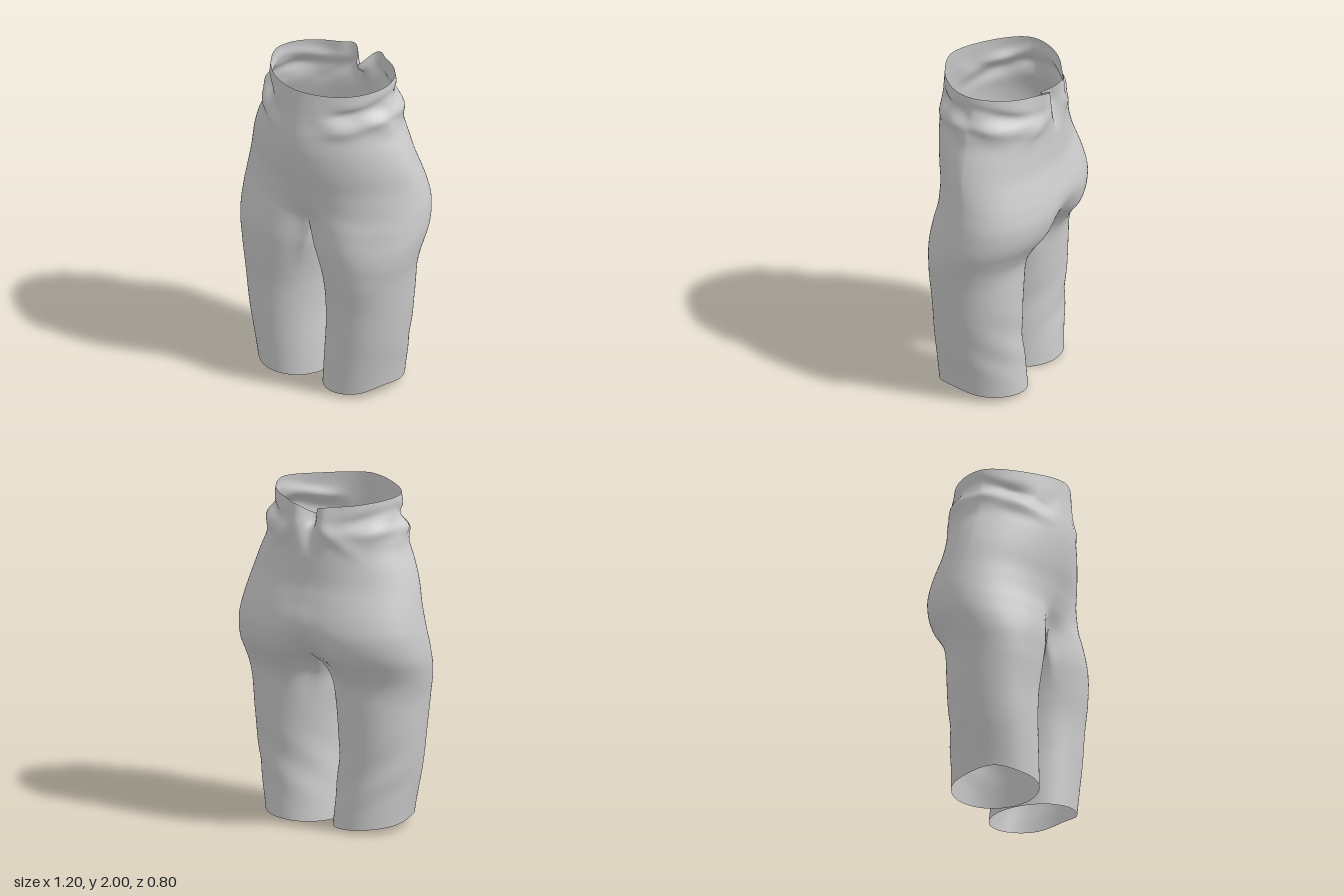
import * as THREE from 'three';
import { mergeVertices } from 'three/addons/utils/BufferGeometryUtils.js';

// Smooth curve through [y, value] pairs
function curve(...p) {
  const slope = i => {
    const a = p[Math.max(i - 1, 0)], b = p[Math.min(i + 1, p.length - 1)];
    return (b[1] - a[1]) / (b[0] - a[0]);
  };
  return y => {
    y = Math.min(Math.max(y, p[0][0]), p[p.length - 1][0]);
    let i = 0;
    while (i < p.length - 2 && y > p[i + 1][0]) i++;
    const h = p[i + 1][0] - p[i][0], t = (y - p[i][0]) / h, t2 = t * t, t3 = t2 * t;
    return (2 * t3 - 3 * t2 + 1) * p[i][1] + (t3 - 2 * t2 + t) * h * slope(i)
      + (3 * t2 - 2 * t3) * p[i + 1][1] + (t3 - t2) * h * slope(i + 1);
  };
}

// Outline of the garment by height
const outer = curve([0, 0.455], [0.2, 0.485], [0.4, 0.515], [0.6, 0.54], [0.8, 0.56], [0.92, 0.582],
  [1.05, 0.6], [1.2, 0.592], [1.3, 0.575], [1.4, 0.555], [1.5, 0.53], [1.6, 0.495], [1.7, 0.452],
  [1.76, 0.44], [1.81, 0.425], [1.86, 0.395], [1.92, 0.402], [2, 0.39]);
const inner = curve([0, 0.006], [0.2, 0.02], [0.4, 0.034], [0.6, 0.028], [0.8, 0.006], [0.95, 0.001], [1.1, 0]);
const front = curve([0, 0.3], [0.4, 0.31], [0.6, 0.316], [0.8, 0.338], [0.95, 0.352], [1.1, 0.342],
  [1.2, 0.33], [1.32, 0.344], [1.45, 0.378], [1.6, 0.4], [1.7, 0.4], [1.8, 0.388], [1.9, 0.378], [2, 0.37]);
const back = curve([0, -0.23], [0.4, -0.212], [0.6, -0.22], [0.8, -0.23], [0.9, -0.255], [0.98, -0.305],
  [1.08, -0.375], [1.2, -0.403], [1.3, -0.395], [1.4, -0.372], [1.5, -0.345], [1.6, -0.335], [1.8, -0.325], [2, -0.305]);
// Roundness of the section (the belly is narrow), and depth of the centre creases
const frontPower = curve([0.7, 2.2], [1.1, 2.2], [1.25, 2], [1.4, 1.7], [1.6, 1.57], [1.8, 1.6], [2, 1.68]);
const backPower = curve([0.7, 2.25], [1.2, 2.2], [1.5, 2], [2, 1.9]);
const groinCrease = curve([0.9, 0.09], [1, 0.095], [1.1, 0.08], [1.2, 0.022], [1.32, 0], [2, 0]);
const seatCrease = curve([0.9, 0.17], [1, 0.14], [1.1, 0.075], [1.25, 0.012], [1.4, 0.01], [1.6, 0], [2, 0]);
const knotPinch = curve([0, 0], [1.65, 0], [1.78, 0.03], [1.9, 0.07], [2, 0.09]);

const CROTCH = 1.1, OUT = 64, IN = 24, LEG_ROWS = 52, TORSO_ROWS = 56, BETA = 0.8;
const bell = (d, w) => Math.exp(-((d / w) ** 2));
const { lerp, smoothstep } = THREE.MathUtils;

// Hip section: a runs from front centre (0) over the side to back centre (PI)
function hipPoint(a, y) {
  const c = Math.cos(a), n = 2 / (c > 0 ? frontPower(y) : backPower(y)), f = front(y), b = back(y);
  const mid = (f + b) / 2, d = (f - b) / 2;
  const x = outer(y) * Math.pow(Math.abs(Math.sin(a)), n);
  let z = mid + d * Math.sign(c) * Math.pow(Math.abs(c), n);
  if (c > 0) z -= groinCrease(y) * bell(x, 0.12) * c;
  else z += (seatCrease(y) * bell(x, 0.13) + knotPinch(y) * (bell(x, 0.035) - 0.3 * bell(x - 0.1, 0.045))) * -c;
  // Fuller thighs at the front corners
  if (c > 0) z += 0.022 * bell(x - 0.33, 0.12) * bell(y - 0.95, 0.25);
  return new THREE.Vector3(x, y, z);
}

// Rolled folds round the waist
function fold(p, a, side) {
  const c = Math.cos(a), s = Math.sin(a), y = p.y;
  const roll = 1.77 + 0.07 * s * s - 0.06 * Math.max(c, 0) + 0.02 * side * c;
  const amount = 0.022 * bell(y - roll, 0.045) - 0.014 * bell(y - roll - 0.085, 0.035);
  const ripple = 0.006 * Math.sin(9 * a + 22 * y + side) * bell(y - 1.82, 0.09);
  const k = amount * smoothstep(s, 0.25, 0.85) + ripple * smoothstep(s, 0.1, 0.6);
  // Diagonal pleats running to the knot at the back
  const pleat = c < 0 ? 0.013 * bell(y - 1.9 + 0.7 * p.x, 0.05)
    * smoothstep(s, 0.1, 0.35) * (1 - smoothstep(p.x, 0.15, 0.38)) : 0;
  p.x += (k + pleat) * s;
  p.z += (k + pleat) * c;
  // Uneven waist edge with a notch at the knot
  const top = smoothstep(y, 1.8, 2);
  p.y -= top * (c < 0 ? 0.07 * bell(p.x, 0.045) + 0.03 * c * c : 0.006 * (1 - Math.cos(4 * a)));
  return p;
}

// Leg section: an ellipse that turns into the hip section towards the crotch
function legPoint(j, y, side) {
  const isOuter = j <= OUT, s = (j - OUT) / IN, a = Math.PI * j / OUT;
  const phi = isOuter ? -BETA + a * (1 + 2 * BETA / Math.PI)
    : Math.PI + BETA + s * (Math.PI - 2 * BETA);
  const w = (outer(y) - inner(y)) / 2, d = (front(y) - back(y)) / 2;
  const leg = new THREE.Vector3(inner(y) + w + w * Math.sin(phi), y,
    (front(y) + back(y)) / 2 + d * Math.cos(phi));
  // Slack creases, mostly on the lower back of the leg
  const crease = 0.004 * bell(y - 0.35, 0.2) * Math.sin(21 * y + 4 * phi + 2 * side)
    * smoothstep(-Math.cos(phi), -0.3, 0.8);
  leg.x += crease * Math.sin(phi);
  leg.z += crease * Math.cos(phi);
  // Hem rises on the outside, most towards the front
  leg.y += (0.024 + 0.019 * Math.sin(phi) + 0.028 * bell(phi - 1.2, 0.5)) * (1 - smoothstep(y, 0, 0.4));
  const k = smoothstep(y, 0.72, CROTCH);
  const hip = isOuter ? hipPoint(a, y)
    : new THREE.Vector3(0, y, lerp(hipPoint(Math.PI, y).z, hipPoint(0, y).z, s));
  leg.lerp(hip, k);
  if (!isOuter) leg.y -= 0.09 * Math.sin(Math.PI * s) * k;
  return leg;
}

function shortsGeometry() {
  const pos = [], index = [];
  // Grid of points, wound so that both mirrored sides face outwards
  const addGrid = (rows, cols, side, point) => {
    const base = pos.length / 3;
    for (let r = 0; r <= rows; r++) for (let c = 0; c <= cols; c++) {
      const p = point(r / rows, c);
      pos.push(side * p.x, p.y, p.z);
    }
    for (let r = 0; r < rows; r++) for (let c = 0; c < cols; c++) {
      const i = base + r * (cols + 1) + c, u = i + cols + 1;
      if (side > 0) index.push(i, i + 1, u + 1, i, u + 1, u);
      else index.push(i, u + 1, i + 1, i, u, u + 1);
    }
  };
  for (const side of [1, -1]) {
    addGrid(LEG_ROWS, OUT + IN, side, (t, c) => legPoint(c, t * CROTCH, side));
    addGrid(TORSO_ROWS, OUT, side, (t, c) => {
      const a = Math.PI * c / OUT;
      return fold(hipPoint(a, lerp(CROTCH, 2, t)), a, side);
    });
  }
  let g = new THREE.BufferGeometry();
  g.setAttribute('position', new THREE.Float32BufferAttribute(pos, 3));
  g.setIndex(index);
  g = mergeVertices(g, 1e-4);
  g.computeVertexNormals();
  return g;
}

export function createModel() {
  const group = new THREE.Group();
  group.name = 'shorts';
  const cloth = new THREE.MeshStandardMaterial({ color: 0xcccccc, side: THREE.DoubleSide });
  const mesh = new THREE.Mesh(shortsGeometry(), cloth);
  mesh.name = 'shortsCloth';
  group.add(mesh);
  return group;
}
